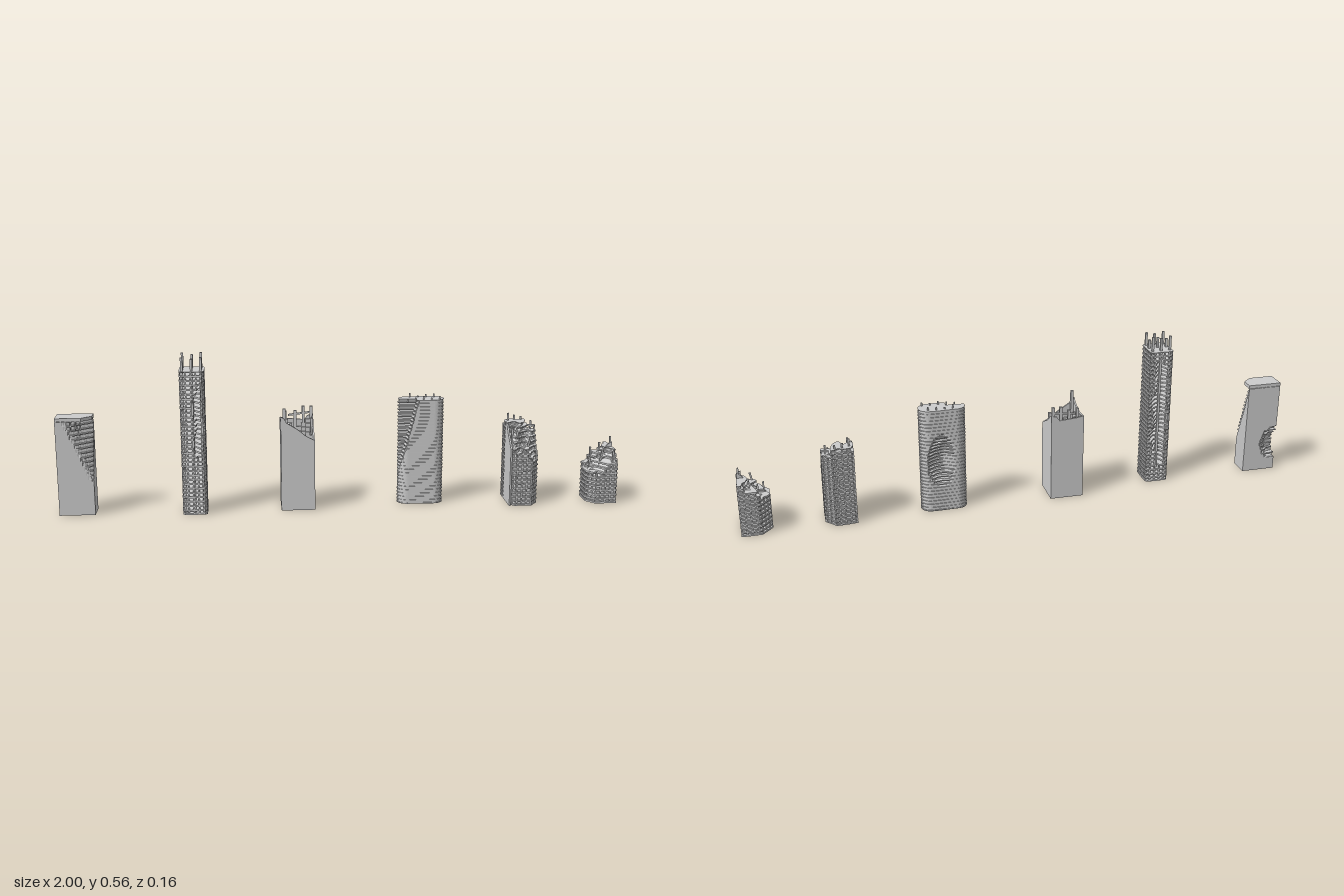
import * as THREE from 'three';
import { mergeGeometries } from 'three/addons/utils/BufferGeometryUtils.js';

const grey = new THREE.MeshStandardMaterial({ color: 0xcccccc, flatShading: true, side: THREE.DoubleSide });
let seed = 7;
const rnd = () => (seed = (seed * 16807) % 2147483647) / 2147483647;
const clamp = (v) => Math.min(1, Math.max(0, v));
const inBall = (x, y, z, c, r) => ((x - c[0]) / r[0]) ** 2 + ((y - c[1]) / r[1]) ** 2 + ((z - c[2]) / r[2]) ** 2 < 1;

const mesh = (name, geo) => {
  const m = new THREE.Mesh(geo, grey);
  m.name = name;
  return m;
};
const box = (x, y, z, w, h, d, tilt = 0) =>
  new THREE.BoxGeometry(w, h, d).rotateZ(tilt).translate(x, y + h / 2, z);
const soup = (pos) => {
  const g = new THREE.BufferGeometry();
  g.setAttribute('position', new THREE.Float32BufferAttribute(pos, 3));
  g.computeVertexNormals();
  return g;
};

// Evenly spaced points around a plan polygon [[x, z], ...]
function perimeter(plan, step = 0.006) {
  const pts = [];
  plan.forEach(([x, z], i) => {
    const [u, v] = plan[(i + 1) % plan.length];
    const n = Math.max(1, Math.round(Math.hypot(u - x, v - z) / step));
    for (let k = 0; k < n; k++) pts.push([x + (u - x) * k / n, z + (v - z) * k / n]);
  });
  return pts;
}

// Perimeter pulled towards the core until it meets undamaged structure
function ringAt(pts, core, y, solid, margin, out) {
  return pts.map(([x, z]) => {
    const dx = x - core[0], dz = z - core[1], len = Math.hypot(dx, dz);
    let s = 1;
    while (s > 0.06 && !solid(core[0] + dx * s, y, core[1] + dz * s, margin)) s -= 0.025;
    const k = s + out / len;
    return { x: core[0] + dx * k, z: core[1] + dz * k, s };
  });
}

// Tower of floor slabs with a damaged skin and optional window piers
function tower(name, { plan, core, height, pitch, solid, slab = 0.005, out = 0.004, skin = 0, piers = 0 }) {
  const g = new THREE.Group();
  g.name = name;
  const pts = perimeter(plan), n = pts.length, count = Math.round(height / pitch);
  const floors = [], wall = [], posts = [];
  const quad = (to, a, ya, b, yb) => to.push(
    a[0].x, ya, a[0].z, b[0].x, yb, b[0].z, a[1].x, ya, a[1].z,
    a[1].x, ya, a[1].z, b[0].x, yb, b[0].z, b[1].x, yb, b[1].z);
  let below = null;
  for (let f = 0; f <= count; f++) {
    const y = f * pitch, y1 = Math.max(0, y - slab / 2), y2 = Math.min(y1 + slab, height);
    const r = ringAt(pts, core, y, solid, 0, out);
    const w = skin === null ? null : ringAt(pts, core, y, solid, 1, skin);
    for (let i = 0; i < n; i++) {
      const j = (i + 1) % n, e = [r[i], r[j]];
      quad(floors, e, y1, e, y2);
      for (const h of [y1, y2]) floors.push(core[0], h, core[1], r[j].x, h, r[j].z, r[i].x, h, r[i].z);
      if (w && below) quad(wall, [below[i], below[j]], y - pitch, [w[i], w[j]], y);
      if (piers && f < count && i % piers === 0 && r[i].s > 0.97 && solid(pts[i][0], y + pitch * 0.8, pts[i][1], 0))
        posts.push(box(pts[i][0], y, pts[i][1], 0.005, pitch, 0.005));
    }
    below = w;
  }
  g.add(mesh('floorSlabs', soup(floors)));
  if (wall.length) g.add(mesh('outerWall', soup(wall)));
  if (posts.length) g.add(mesh('windowPiers', mergeGeometries(posts)));
  return g;
}

// Leftover posts: [x, y, z, height, tilt]
const stubs = (name, list, w = 0.006) =>
  mesh(name, mergeGeometries(list.map(([x, y, z, h, t = 0]) => box(x, y, z, w, h, w, t))));

// Upright wall cut to a ragged outline; the path is its top edge as [distance, height]
function raggedWall(name, top, x, z, turn) {
  const s = new THREE.Shape();
  s.moveTo(0, 0);
  top.forEach(([t, h]) => s.lineTo(t, h));
  s.lineTo(top[top.length - 1][0], 0);
  const m = mesh(name, new THREE.ExtrudeGeometry(s, { depth: 0.006, bevelEnabled: false }));
  m.position.set(x, 0, z);
  m.rotation.y = turn;
  return m;
}

// Smooth block with one corner sliced away
function slicedTower() {
  const g = tower('slicedTower', {
    plan: [[-1, -0.025], [-0.875, -0.025], [-0.875, 0.05], [-1, 0.05]],
    core: [-0.965, -0.005], height: 0.336, pitch: 0.016, out: -0.001, slab: 0.004,
    solid: (x, y, z, m) => {
      const cut = (x + 0.965) / 0.09 + (z + 0.02) / 0.07 > 1 + (0.32 - y) / 0.205 + (m ? 0 : 0.2);
      const k = m ? 1 : 0.8;
      return !cut && !inBall(x, y, z, [-0.995, 0.11, -0.03], [0.055 * k, 0.06 * k, 0.04 * k]);
    },
  });
  // Roof with a clipped corner, carried by a row of posts
  const roof = new THREE.Shape([[-1, -0.05], [-0.91, -0.05], [-0.875, -0.02], [-0.875, 0.025], [-1, 0.025]]
    .map(([x, y]) => new THREE.Vector2(x, y)));
  g.add(mesh('roof', new THREE.ExtrudeGeometry(roof, { depth: 0.012, bevelEnabled: false })
    .rotateX(-Math.PI / 2).translate(0, 0.338, 0)));
  const posts = [];
  for (let i = 0; i < 8; i++) for (const z of [-0.021, 0.046])
    if (i < 6 || z < 0) posts.push([-0.996 + i * 0.0167, 0.305, z, 0.036]);
  g.add(stubs('roofPosts', posts, 0.004));
  return g;
}

// Tall open frame with gashes front and back
function frameTower() {
  const gash = (x, y, c, w, lo, hi) =>
    y > lo && y < hi && Math.abs(x - c - 0.008 * Math.sin(y * 45)) < w * Math.sqrt(Math.sin(Math.PI * (y - lo) / (hi - lo)));
  const g = tower('frameTower', {
    plan: [[-0.565, -0.012], [-0.558, -0.019], [-0.492, -0.019], [-0.485, -0.012],
      [-0.485, 0.068], [-0.492, 0.075], [-0.558, 0.075], [-0.565, 0.068]],
    core: [-0.528, 0.028], height: 0.512, pitch: 0.016, slab: 0.006, skin: null, piers: 3,
    solid: (x, y, z) => !(z > 0.045 && gash(x, y, -0.508, 0.013, 0.2, 0.47)) &&
      !(z < 0.008 && gash(x, y, -0.528, 0.027, 0.06, 0.49)),
  });
  const cols = [];
  [-0.558, -0.525, -0.493].forEach((x, i) => [0.066, 0.033, -0.004].forEach((z, k) =>
    cols.push([x, 0, z, [0.56, 0.55, 0.565][k] - 0.006 * ((i + k) % 2)])));
  g.add(stubs('columns', cols, 0.008));
  return g;
}

// Plain shaft with a collapsed, terraced crown
function hollowTower() {
  const g = new THREE.Group();
  g.name = 'hollowTower';
  const x0 = -0.22, x1 = -0.1, z0 = -0.068, z1 = 0.055;
  g.add(
    raggedWall('frontWall', [[0, 0.34], [0.012, 0.335], [0.02, 0.32], [0.06, 0.295], [0.09, 0.27], [0.12, 0.255]], x0, z1 - 0.006, 0),
    raggedWall('rightWall', [[0, 0.255], [0.03, 0.27], [0.07, 0.29], [0.1, 0.315], [0.123, 0.325]], x1 - 0.006, z1, Math.PI / 2),
    raggedWall('backWall', [[0, 0.325], [0.02, 0.32], [0.03, 0.305], [0.09, 0.31], [0.12, 0.315]], x1, z0 + 0.006, Math.PI),
    raggedWall('leftWall', [[0, 0.315], [0.05, 0.31], [0.1, 0.325], [0.123, 0.34]], x0 + 0.006, z0, -Math.PI / 2));
  const cells = [], n = 14;
  for (let i = 0; i < n; i++) for (let k = 0; k < n; k++) {
    const u = (i + 0.5) / n, v = (k + 0.5) / n;
    const slope = 0.3 - 0.06 * u * v - 0.1 * clamp(1 - Math.hypot(u - 0.62, v - 0.6) * 1.7) + 0.012 * Math.sin(u * 9 + v * 4);
    const h = Math.floor(slope / 0.014) * 0.014;
    cells.push(box(x0 + 0.004 + u * 0.112, 0, z0 + 0.004 + v * 0.115, 0.008, h, 0.0083));
  }
  g.add(mesh('terracedFloors', mergeGeometries(cells)));
  g.add(stubs('brokenColumns', [[-0.208, 0.28, 0.045, 0.09], [-0.2, 0.28, -0.05, 0.06], [-0.165, 0.28, -0.06, 0.06],
    [-0.135, 0.28, -0.06, 0.075], [-0.107, 0.28, -0.06, 0.075], [-0.107, 0.26, -0.02, 0.06]], 0.01));
  g.add(mesh('brokenBeam', box(-0.15, 0.325, -0.06, 0.08, 0.006, 0.006, 0.12)));
  return g;
}

// Wide slab block with rounded ends
function roundedTower() {
  const plan = [], r = 0.034;
  for (let i = 0; i <= 16; i++) {
    const a = Math.PI * (i % 17) / 16;
    plan.push([0.332 + r * Math.sin(a), -0.022 - r * Math.cos(a)]);
  }
  for (let i = 0; i <= 16; i++) {
    const a = Math.PI * i / 16;
    plan.push([0.24 - r * Math.sin(a), -0.022 + r * Math.cos(a)]);
  }
  const g = tower('roundedTower', {
    plan, core: [0.31, -0.02], height: 0.384, pitch: 0.0128, slab: 0.004, out: 0.003,
    solid: (x, y, z, m) => {
      const k = m ? 1 : 0.82;
      const side = z > (m ? -0.03 : -0.012) && y > 0.12 && x < 0.21 + (y - 0.13) * 0.26 - (m ? 0 : 0.006);
      return !side && !inBall(x, y, z, [0.295, 0.19, -0.065], [0.05 * k, 0.1 * k, 0.035 * k]);
    },
  });
  const posts = [];
  for (let i = 0; i < 9; i++) posts.push([0.235 + i * 0.0145, 0.375, i % 2 ? -0.045 : 0, 0.012 + rnd() * 0.012]);
  g.add(stubs('roofStubs', posts, 0.005));
  return g;
}

// Eight-sided block, collapsed towards the front
function facetedTower() {
  const g = tower('facetedTower', {
    plan: [[0.604, -0.077], [0.672, -0.081], [0.707, -0.045], [0.707, 0.03], [0.68, 0.066], [0.622, 0.066], [0.604, 0.05]],
    core: [0.645, -0.055], height: 0.288, pitch: 0.016, skin: -0.005, piers: 3,
    solid: (x, y, z, m) => y < 0.292 - 0.085 * clamp((z + 0.03) / 0.07) - 0.03 * clamp((x - 0.66) / 0.04)
      + 0.012 * Math.sin(x * 130 + z * 60) - (m ? 0.008 : 0) || inBall(x, y, z, [0.645, 0.26, -0.055], [0.02, 0.06, 0.02]),
  });
  g.add(stubs('brokenColumns', [[0.615, 0.25, -0.06, 0.065], [0.64, 0.26, -0.07, 0.045], [0.665, 0.25, -0.07, 0.05],
    [0.695, 0.22, -0.04, 0.07], [0.612, 0.2, 0.03, 0.08], [0.64, 0.2, 0.01, 0.07, 0.25], [0.675, 0.2, 0.03, 0.05, -0.3]]));
  g.add(raggedWall('brokenWall', [[0, 0.29], [0.03, 0.28], [0.05, 0.255], [0.08, 0.23], [0.1, 0.21]], 0.606, -0.03, -Math.PI / 2));
  return g;
}

// Low stump rising towards its flat side
function stumpTower() {
  const g = tower('stumpTower', {
    plan: [[0.996, -0.081], [0.93, -0.081], [0.894, -0.04], [0.894, 0.03], [0.92, 0.063], [0.996, 0.063]],
    core: [0.98, -0.03], height: 0.192, pitch: 0.016, skin: -0.005, piers: 3, slab: 0.006,
    solid: (x, y, z, m) => y < 0.125 + 0.75 * clamp((x - 0.9) / 0.1) * 0.1 - 0.04 * clamp((z - 0.01) / 0.06)
      + 0.01 * Math.sin(x * 110 - z * 70) - (m ? 0.008 : 0) || inBall(x, y, z, [0.98, 0.17, -0.03], [0.015, 0.06, 0.03]),
  });
  g.add(stubs('brokenColumns', [[0.99, 0.15, -0.02, 0.08], [0.96, 0.15, -0.05, 0.05], [0.93, 0.13, -0.06, 0.05],
    [0.985, 0.13, 0.04, 0.06], [0.945, 0.12, 0.02, 0.07, -0.2], [0.91, 0.11, 0, 0.05]]));
  g.add(raggedWall('brokenWall', [[0, 0.13], [0.03, 0.15], [0.06, 0.17], [0.08, 0.2], [0.096, 0.21]], 0.9, -0.02, 0));
  return g;
}

export function createModel() {
  const model = new THREE.Group();
  model.name = 'ruinedTowers';
  model.add(slicedTower(), frameTower(), hollowTower(), roundedTower(), facetedTower(), stumpTower());
  return model;
}
